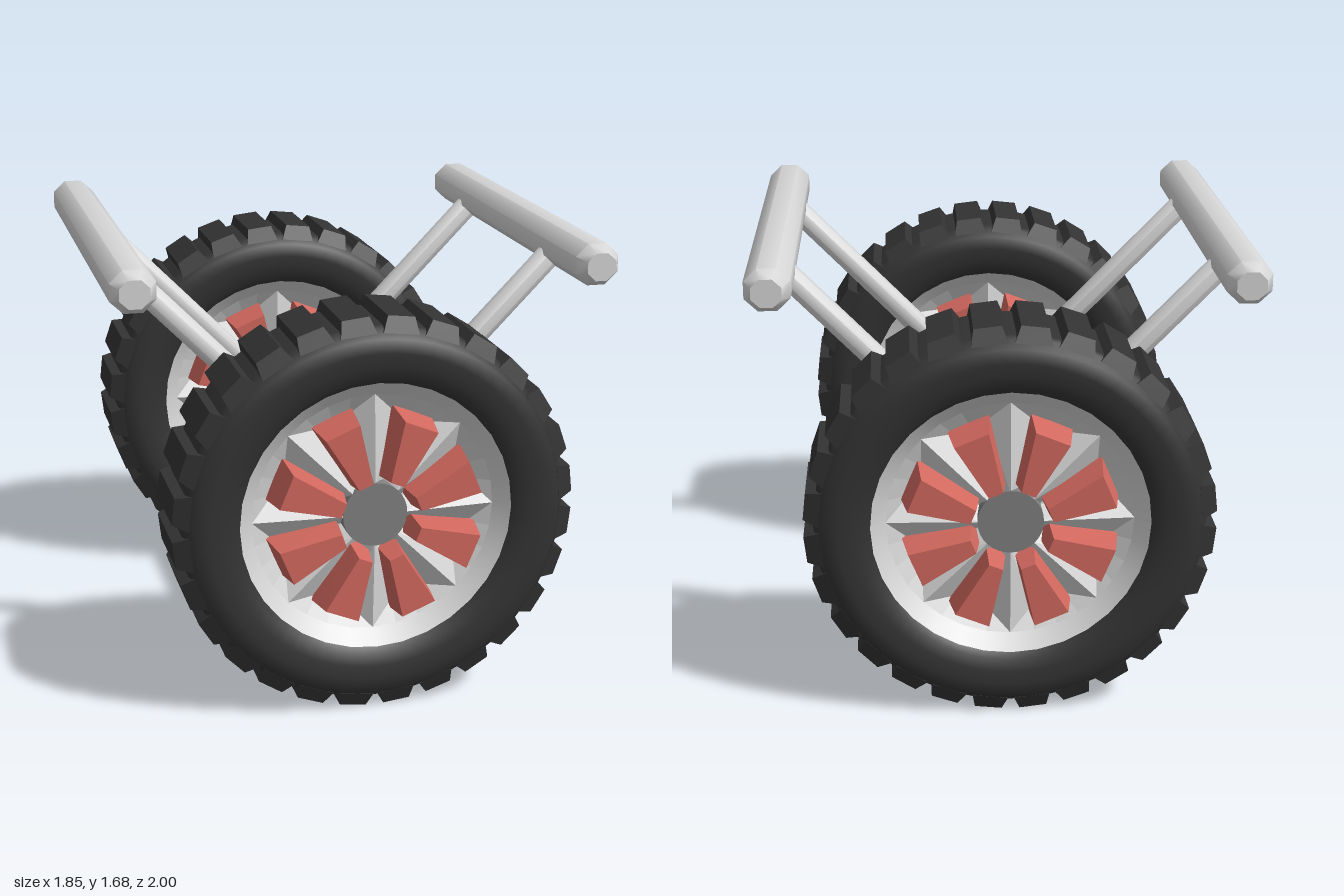
import * as THREE from 'three';
import { mergeGeometries, toCreasedNormals } from 'three/addons/utils/BufferGeometryUtils.js';

const WHEEL_Y = 0.745, WHEEL_Z = 0.775, SPOKES = 8, LUGS = 28;

const material = (name, color) => {
  const m = new THREE.MeshStandardMaterial({ color });
  m.name = name;
  return m;
};

const add = (parent, name, geometry, mat) => {
  const mesh = new THREE.Mesh(geometry, mat);
  mesh.name = name;
  parent.add(mesh);
  return mesh;
};

// Box whose corners (signs -1 / +1) are moved by a rule
function mold(rule) {
  const g = new THREE.BoxGeometry(2, 2, 2);
  const p = g.attributes.position;
  for (let i = 0; i < p.count; i++) p.setXYZ(i, ...rule(p.getX(i), p.getY(i), p.getZ(i)));
  g.computeVertexNormals();
  return g;
}

// Copies of a shape placed evenly about the wheel axis, starting half a step round
function around(geometry, count) {
  const copies = [];
  for (let i = 0; i < count; i++) {
    copies.push(geometry.clone().rotateZ(((i + 0.5) * 2 * Math.PI) / count));
  }
  return mergeGeometries(copies);
}

// Surface of revolution about z; profile points are [radius, z]
function turned(profile, segments) {
  const g = new THREE.LatheGeometry(profile.map(([r, z]) => new THREE.Vector2(r, z)), segments);
  return g.rotateX(Math.PI / 2);
}

// Faceted ridges and valleys between hub and rim
function spokeStar() {
  const at = (deg, r, z) => {
    const a = (deg * Math.PI) / 180;
    return [r * Math.cos(a), r * Math.sin(a), z];
  };
  const out = [];
  for (let k = 0; k < SPOKES; k++) {
    const mid = k * 45;
    const ridgeIn = at(mid, 0.11, 0.135), ridgeOut = at(mid, 0.45, 0.12);
    for (const s of [1, -1]) {
      const side = at(mid + s * 13, 0.375, 0.07);
      const valley = at(mid + s * 22.5, 0.11, 0.08);
      const floor = at(mid + s * 22.5, 0.375, 0.07);
      const rimMid = at(mid + s * 11.25, 0.45, 0.12);
      const rimEnd = at(mid + s * 22.5, 0.45, 0.12);
      const faces = [
        [ridgeIn, ridgeOut, side], [ridgeIn, side, valley], [ridgeOut, rimMid, side],
        [rimMid, rimEnd, side], [rimEnd, floor, side], [side, floor, valley],
      ];
      for (const [a, b, c] of faces) out.push(...a, ...(s > 0 ? b : c), ...(s > 0 ? c : b));
    }
  }
  const g = new THREE.BufferGeometry();
  g.setAttribute('position', new THREE.Float32BufferAttribute(out, 3));
  g.computeVertexNormals();
  return g;
}

// Eight-sided bar along y with optional chamfered ends
function bar(length, radius, chamfer) {
  const h = length / 2, r = radius * 0.66;
  const profile = [[0, -h], [r, -h], [radius, -h + chamfer], [radius, h - chamfer], [r, h], [0, h]];
  const g = new THREE.LatheGeometry(profile.map(([x, y]) => new THREE.Vector2(x, y)), 8);
  return toCreasedNormals(g.rotateY(Math.PI / 8), 0.85);
}

export function createModel() {
  const rubber = material('black rubber', 0x333333);
  const silver = material('light silver', 0xd6d6d6);
  const steel = material('mid grey steel', 0x808080);
  const red = material('soft red', 0xd2685e);

  const model = new THREE.Group();
  model.name = 'wheeledFrame';

  // Shared wheel shapes
  const half = [[0.5, 0.165], [0.525, 0.188], [0.57, 0.2], [0.62, 0.205], [0.67, 0.198], [0.7, 0.165], [0.708, 0.14]];
  const tyreGeo = turned([...half.map(([r, z]) => [r, -z]), ...half.slice().reverse()], 64);
  const lugGeo = around(mold((x, y, z) => (y > 0
    ? [x * 0.05, 0.743, z * 0.155]
    : [x * 0.066, 0.685, z * 0.182])), LUGS);
  const ringGeo = turned([[0.505, 0.172], [0.45, 0.12]], 32);
  const starGeo = spokeStar();
  const blockGeo = around(mold((x, y, z) => {
    const outer = x > 0;
    if (z > 0) return [outer ? 0.375 : 0.15, y * (outer ? 0.066 : 0.027), 0.225];
    return [outer ? 0.395 : 0.13, y * (outer ? 0.083 : 0.042), 0.06];
  }), SPOKES);
  const hubGeo = new THREE.CylinderGeometry(0.12, 0.12, 0.14, 32).rotateX(Math.PI / 2);

  for (const end of [1, -1]) {
    const wheel = new THREE.Group();
    wheel.name = end > 0 ? 'frontWheel' : 'rearWheel';
    wheel.position.set(0, WHEEL_Y, end * WHEEL_Z);
    add(wheel, 'tyre', tyreGeo, rubber);
    add(wheel, 'treadLugs', lugGeo, rubber);
    // Both faces of the wheel are alike
    for (const turn of [0, Math.PI]) {
      const face = new THREE.Group();
      face.name = 'wheelFace';
      face.rotation.y = turn;
      add(face, 'rimRing', ringGeo, silver);
      add(face, 'spokes', starGeo, silver);
      add(face, 'redBlocks', blockGeo, red);
      add(face, 'hub', hubGeo, steel).position.z = 0.068;
      wheel.add(face);
    }
    model.add(wheel);
  }

  // Axle joining the wheels
  const axle = add(model, 'axle', new THREE.CylinderGeometry(0.12, 0.12, 1.4, 32), steel);
  axle.rotation.x = Math.PI / 2;
  axle.position.y = WHEEL_Y;

  // Side rails and the slanted struts that carry them
  const low = new THREE.Vector2(0.07, 0.82), high = new THREE.Vector2(0.83, 1.6);
  const strutGeo = bar(low.distanceTo(high), 0.047, 0.02);
  const railGeo = bar(1.77, 0.088, 0.05);
  for (const side of [1, -1]) {
    const rail = add(model, side > 0 ? 'leftRail' : 'rightRail', railGeo, silver);
    rail.rotation.x = Math.PI / 2;
    rail.scale.z = 0.94;
    rail.position.set(side * 0.842, 1.603, 0);
    for (const z of [0.485, -0.485]) {
      const strut = add(model, 'strut', strutGeo, silver);
      strut.position.set((side * (low.x + high.x)) / 2, (low.y + high.y) / 2, z);
      strut.rotation.z = -side * Math.atan2(high.x - low.x, high.y - low.y);
      strut.scale.z = 0.94;
    }
  }
  return model;
}
